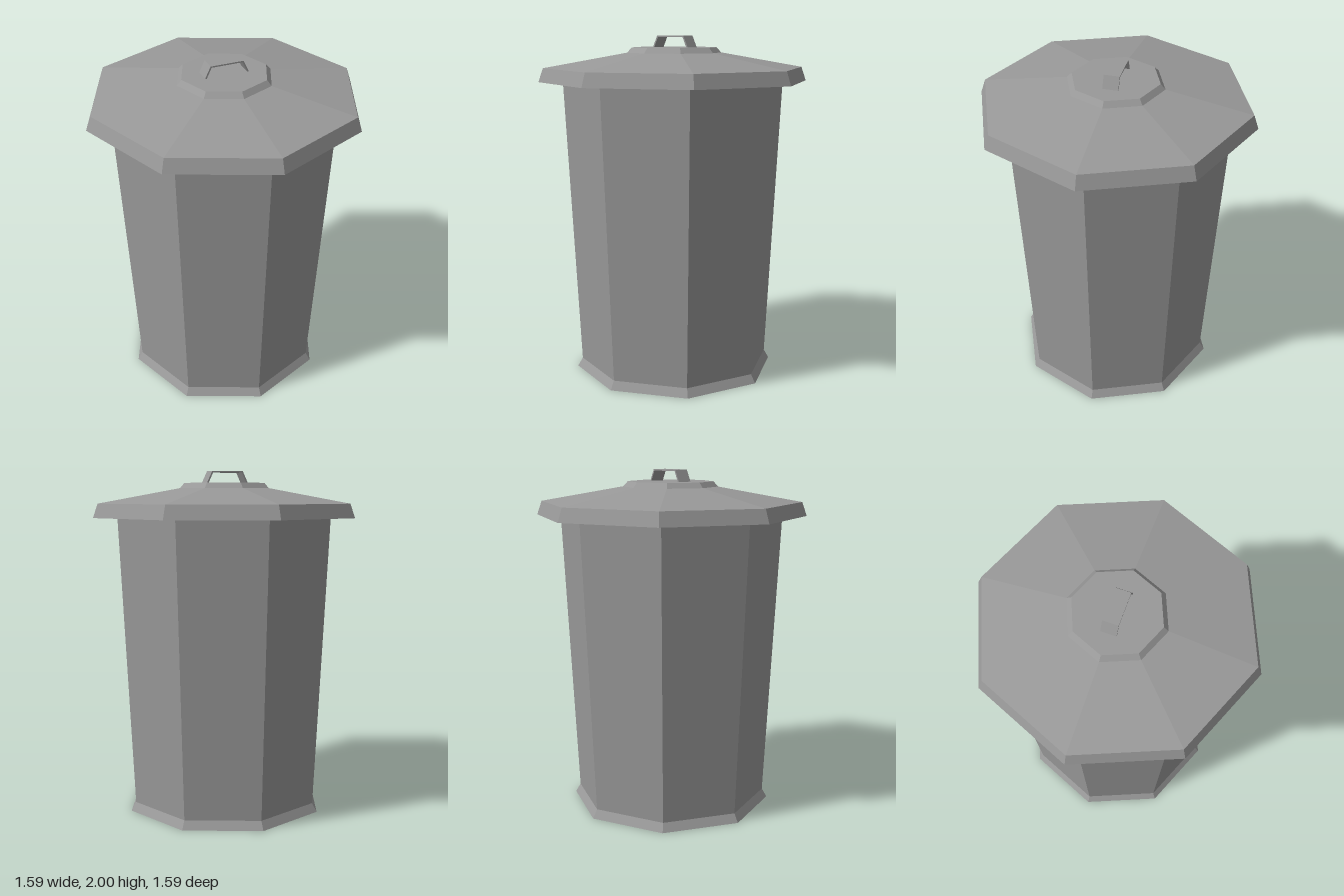
import * as THREE from 'three';

const SIDES = 8;

const greyMetal = new THREE.MeshStandardMaterial({
  color: 0x999999, flatShading: true, side: THREE.DoubleSide,
});

// Faceted mesh with one normal per face
function facetedMesh(name, geometry) {
  const flat = geometry.index ? geometry.toNonIndexed() : geometry;
  flat.computeVertexNormals();
  const mesh = new THREE.Mesh(flat, greyMetal);
  mesh.name = name;
  return mesh;
}

// Eight-sided shell from [radius, height] points, with corners on the x and z axes
function octagonShell(name, profile) {
  const points = profile.map(([r, y]) => new THREE.Vector2(r, y));
  return facetedMesh(name, new THREE.LatheGeometry(points, SIDES));
}

export function createModel() {
  const bin = new THREE.Group();
  bin.name = 'dustbin';

  // Open-bottomed tapered body with a flared foot
  bin.add(octagonShell('foot', [[0.597, 0], [0.568, 0.05]]));
  bin.add(octagonShell('body', [[0.568, 0.05], [0.652, 1.735]]));

  // Lid: overhanging underside, rim, sloping roof and raised centre
  const lid = new THREE.Group();
  lid.name = 'lid';
  lid.add(octagonShell('lidUnderside', [[0.652, 1.735], [0.793, 1.735]]));
  lid.add(octagonShell('lidRim', [[0.793, 1.735], [0.765, 1.815]]));
  lid.add(octagonShell('lidSlope', [[0.765, 1.815], [0.277, 1.902]]));
  lid.add(octagonShell('lidStep', [[0.277, 1.902], [0.25, 1.932]]));
  const cap = new THREE.CircleGeometry(0.25, SIDES);
  cap.rotateX(-Math.PI / 2);
  cap.translate(0, 1.932, 0);
  lid.add(facetedMesh('lidTop', cap));
  bin.add(lid);

  // Handle: thin bent strip across the lid
  const strip = new THREE.Shape([
    [-0.128, 1.932], [-0.118, 1.932], [-0.09, 1.992], [0.09, 1.992],
    [0.118, 1.932], [0.128, 1.932], [0.096, 2], [-0.096, 2],
  ].map(([x, y]) => new THREE.Vector2(x, y)));
  const handle = new THREE.ExtrudeGeometry(strip, { depth: 0.088, bevelEnabled: false });
  handle.translate(0, 0, -0.047);
  bin.add(facetedMesh('handle', handle));

  return bin;
}
